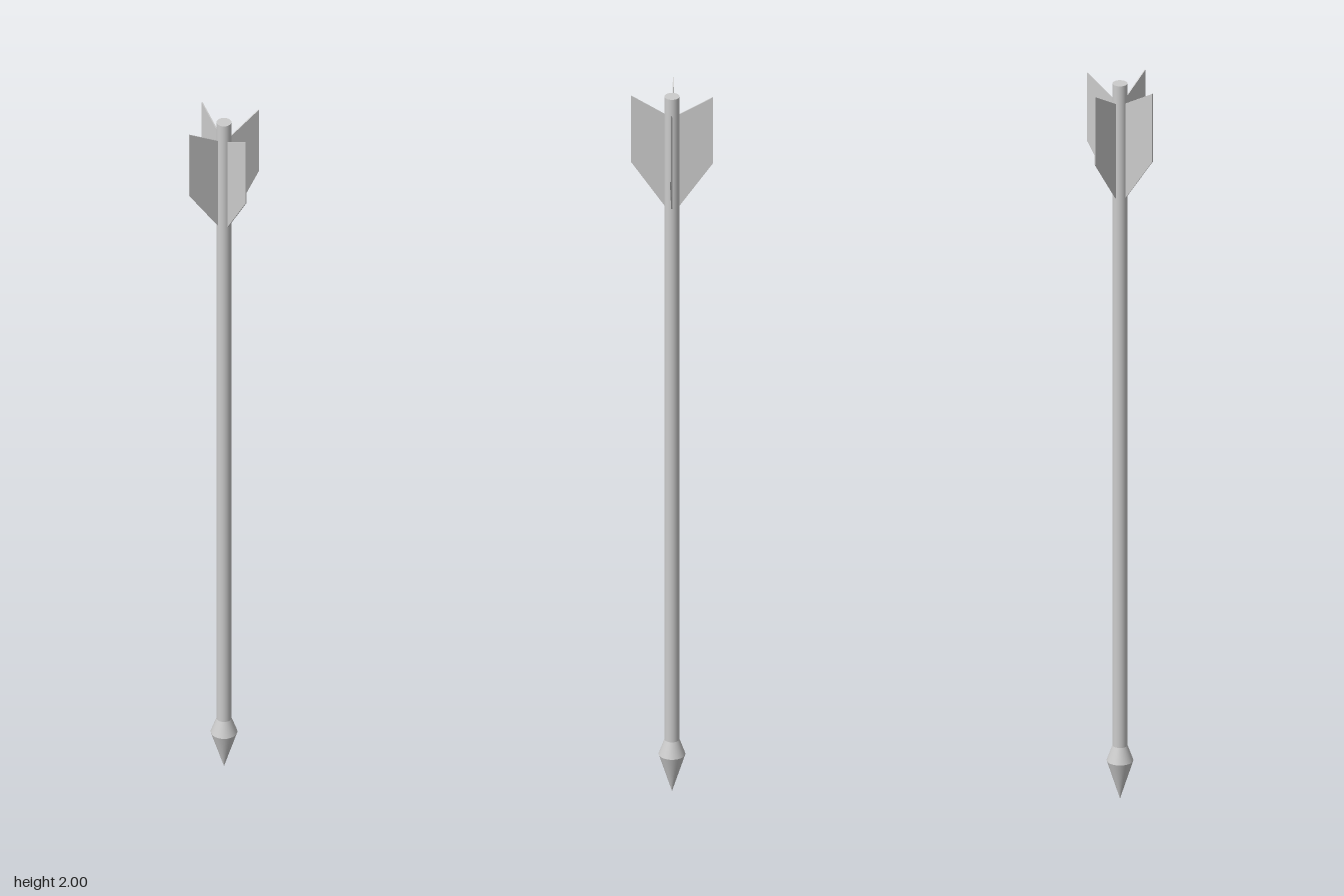
import * as THREE from 'three';

export function createModel() {
  const group = new THREE.Group();
  const material = new THREE.MeshStandardMaterial({ color: 0xcccccc });

  const add = (name, geometry, y = 0) => {
    const mesh = new THREE.Mesh(geometry, material);
    mesh.name = name;
    mesh.position.y = y;
    group.add(mesh);
    return mesh;
  };

  // Round shaft
  const shaftRadius = 0.019;
  const shaftBottom = 0.14;
  add('shaft', new THREE.CylinderGeometry(shaftRadius, shaftRadius, 2 - shaftBottom, 32), (2 + shaftBottom) / 2);

  // Pointed head: long cone below, short collar tapering up to the shaft
  const headRadius = 0.034;
  const headWidest = 0.108;
  const headTop = 0.15;
  const point = add('headPoint', new THREE.ConeGeometry(headRadius, headWidest, 32, 1, true), headWidest / 2);
  point.rotation.x = Math.PI;
  add(
    'headCollar',
    new THREE.CylinderGeometry(shaftRadius, headRadius, headTop - headWidest, 32, 1, true),
    (headTop + headWidest) / 2
  );

  // Four thin swept fins, turned slightly about the shaft
  const thickness = 0.003;
  const finShape = new THREE.Shape([
    new THREE.Vector2(0.015, 1.68),
    new THREE.Vector2(0.104, 1.81),
    new THREE.Vector2(0.104, 2),
    new THREE.Vector2(0.015, 1.947),
  ]);
  const finGeometry = new THREE.ExtrudeGeometry(finShape, { depth: thickness, bevelEnabled: false });
  finGeometry.translate(0, 0, -thickness / 2);
  for (let i = 0; i < 4; i++) {
    add(`fin${i + 1}`, finGeometry).rotation.y = (i * Math.PI) / 2 - 0.1;
  }

  return group;
}
